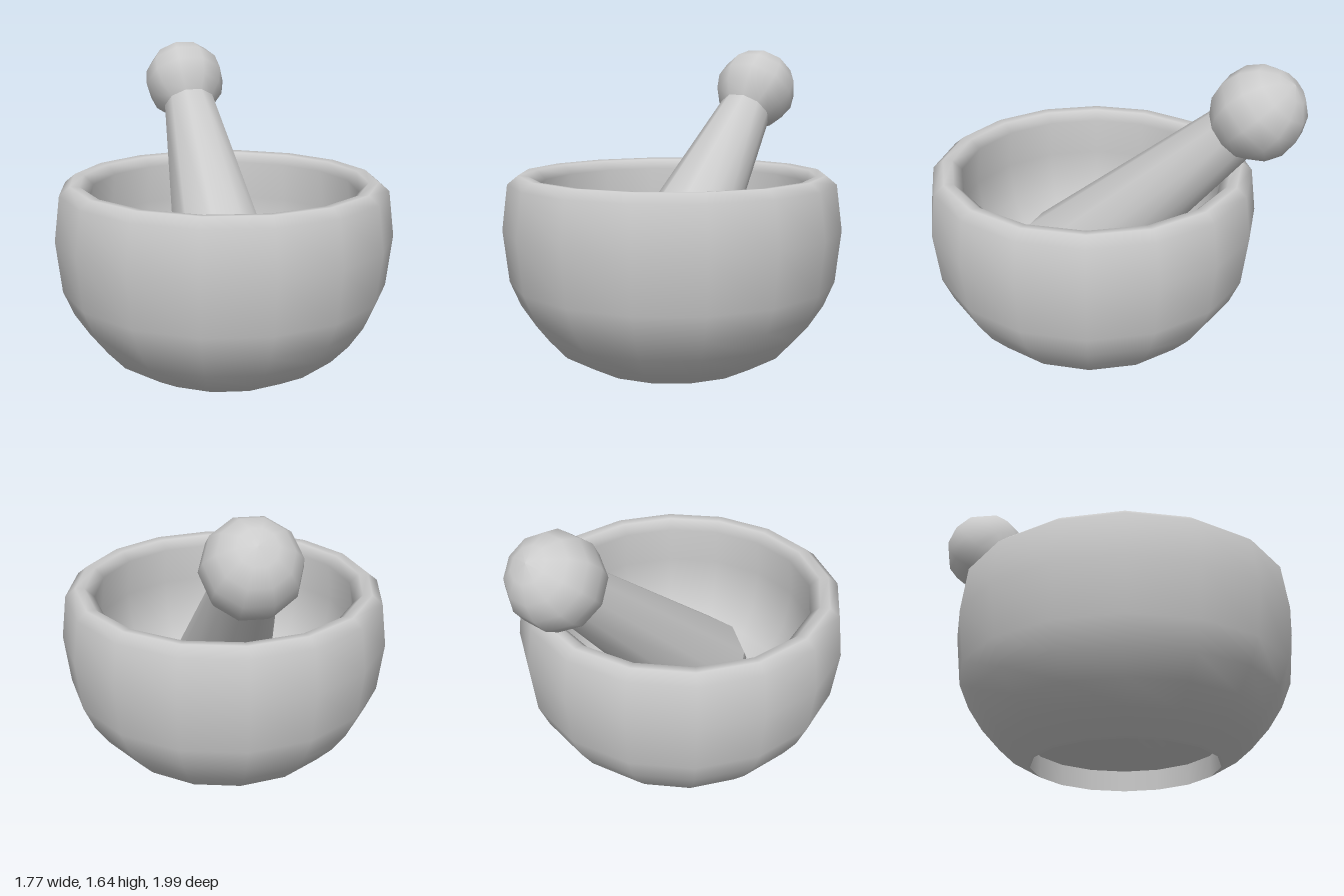
import * as THREE from 'three';

const material = new THREE.MeshStandardMaterial({ color: 0xcccccc });

// Turned part from [radius, height] pairs
function turned(name, profile, sides, phiStart = 0) {
  const points = profile.map(([r, y]) => new THREE.Vector2(r, y));
  const mesh = new THREE.Mesh(new THREE.LatheGeometry(points, sides, phiStart), material);
  mesh.name = name;
  return mesh;
}

export function createModel() {
  const model = new THREE.Group();
  model.name = 'mortarAndPestle';

  // Mortar: outer wall, rolled rim and hollow in one profile
  const mortar = new THREE.Group();
  mortar.name = 'mortar';
  mortar.position.z = 0.112;
  mortar.add(
    turned('bowl', [
      [0.475, 0], [0.63, 0.09], [0.725, 0.195], [0.8, 0.31], [0.855, 0.44],
      [0.885, 0.71], [0.855, 0.945], [0.8, 0.99], [0.75, 0.985], [0.7, 0.935],
      [0.725, 0.72], [0.69, 0.5], [0.6, 0.34], [0.42, 0.21], [0.2, 0.15], [0, 0.14],
    ], 16),
    // Hollow underside
    turned('footWall', [[0.475, 0.11], [0.475, 0]], 16),
    turned('footCeiling', [[0, 0.11], [0.475, 0.11]], 16),
  );
  model.add(mortar);

  // Pestle: leans back at 45 degrees, built upright from its widest ring
  const pestle = new THREE.Group();
  pestle.name = 'pestle';
  pestle.position.set(0, 0.36, 0.28);
  pestle.rotation.x = -Math.PI / 4;

  const knobRadius = 0.235, knobHeight = 1.48, neckRadius = 0.15;
  const start = Math.asin(neckRadius / knobRadius);
  const knobProfile = [];
  for (let i = 0; i <= 6; i++) {
    const a = start + (Math.PI - start) * i / 6;
    knobProfile.push([i === 6 ? 0 : knobRadius * Math.sin(a), knobHeight - knobRadius * Math.cos(a)]);
  }
  const neckHeight = knobProfile[0][1];
  pestle.add(
    turned('grindingEnd', [[0, -0.235], [0.11, -0.225], [0.205, -0.18], [0.265, -0.09], [0.29, 0]], 10, Math.PI / 2),
    turned('handle', [[0.29, 0], [neckRadius, neckHeight]], 10, Math.PI / 2),
    turned('knob', knobProfile, 10, Math.PI / 2),
  );
  model.add(pestle);
  return model;
}
